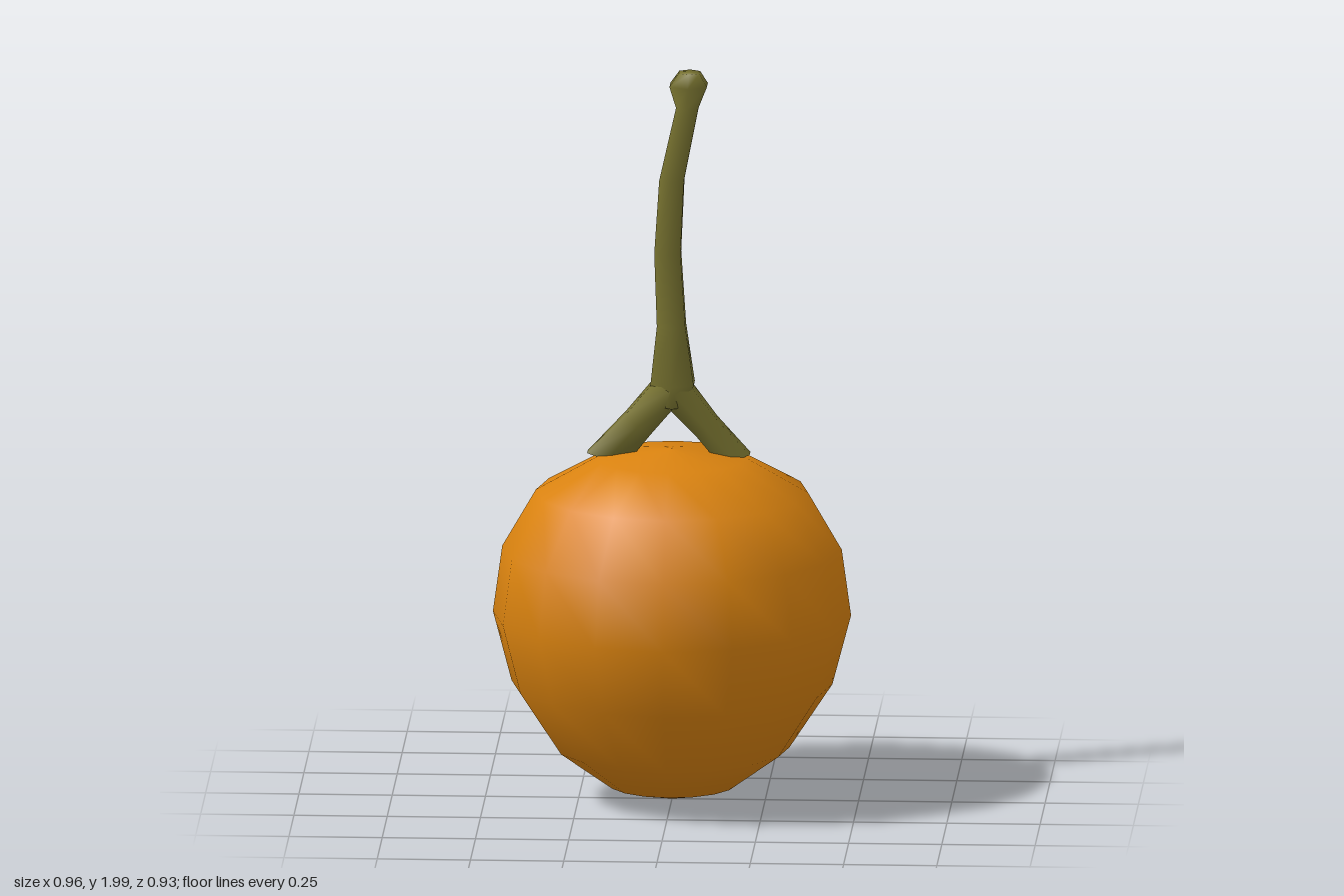
import * as THREE from 'three';

const SIDES = 6;

// Smooth low-poly tube skinned over rings of [x, y, radiusX, radiusZ, tilt], listed upwards.
function ringTube(rings, z, capTop) {
  const pos = [], index = [];
  for (const [x, y, rx, rz, tilt = 0] of rings) {
    for (let j = 0; j < SIDES; j++) {
      const a = ((j + 0.5) / SIDES) * Math.PI * 2;
      const across = (Math.cos(a) * rx) / Math.cos(Math.PI / SIDES);
      pos.push(x + across * Math.cos(tilt), y + across * Math.sin(tilt), z + Math.sin(a) * rz);
    }
  }
  for (let i = 0; i < rings.length - 1; i++) {
    for (let j = 0; j < SIDES; j++) {
      const k = (j + 1) % SIDES;
      const a = i * SIDES + j, b = i * SIDES + k;
      index.push(a, a + SIDES, b, b, a + SIDES, b + SIDES);
    }
  }
  if (capTop) {
    const last = rings.length - 1, centre = rings.length * SIDES;
    pos.push(rings[last][0], rings[last][1], z);
    for (let j = 0; j < SIDES; j++) {
      index.push(last * SIDES + j, centre, last * SIDES + ((j + 1) % SIDES));
    }
  }
  const geo = new THREE.BufferGeometry();
  geo.setAttribute('position', new THREE.Float32BufferAttribute(pos, 3));
  geo.setIndex(index);
  geo.computeVertexNormals();
  return geo;
}

export function createModel() {
  const model = new THREE.Group();
  model.name = 'fruitWithStem';

  const orange = new THREE.MeshStandardMaterial({ color: 0xd9820f });
  orange.name = 'orange skin';
  const olive = new THREE.MeshStandardMaterial({ color: 0x76712f, side: THREE.DoubleSide });
  olive.name = 'olive stem';

  const add = (name, geo, mat) => {
    const mesh = new THREE.Mesh(geo, mat);
    mesh.name = name;
    model.add(mesh);
    return mesh;
  };

  // Round fruit, a little narrower towards the base
  const profile = [
    [0, 0.005], [0.17, 0.045], [0.315, 0.15], [0.43, 0.325], [0.48, 0.515],
    [0.455, 0.695], [0.365, 0.85], [0.2, 0.943], [0, 0.968],
  ].map(([r, y]) => new THREE.Vector2(r, y));
  const fruit = add('fruit', new THREE.LatheGeometry(profile, 16), orange);
  fruit.scale.z = 0.97;

  // Curved stem with a knob at the tip
  const z = -0.03;
  add('stem', ringTube([
    [0, 1.08, 0.035, 0.055],
    [0, 1.14, 0.058, 0.06],
    [-0.003, 1.3, 0.038, 0.047],
    [-0.013, 1.5, 0.035, 0.043],
    [-0.002, 1.7, 0.033, 0.038],
    [0.04, 1.9, 0.03, 0.033],
    [0.043, 1.96, 0.05, 0.055],
    [0.045, 1.995, 0.028, 0.033],
  ], z, true), olive);

  // Two forked feet resting on the fruit
  add('rightFoot', ringTube([
    [-0.175, 0.935, 0.055, 0.035, -0.25],
    [-0.092, 1.03, 0.043, 0.055, -0.7],
    [-0.008, 1.13, 0.045, 0.06, -0.45],
  ], z, false), olive);
  add('leftFoot', ringTube([
    [0.168, 0.935, 0.042, 0.037, 0.35],
    [0.09, 1.025, 0.036, 0.045, 0.7],
    [0.008, 1.12, 0.045, 0.058, 0.5],
  ], z, false), olive);

  return model;
}
